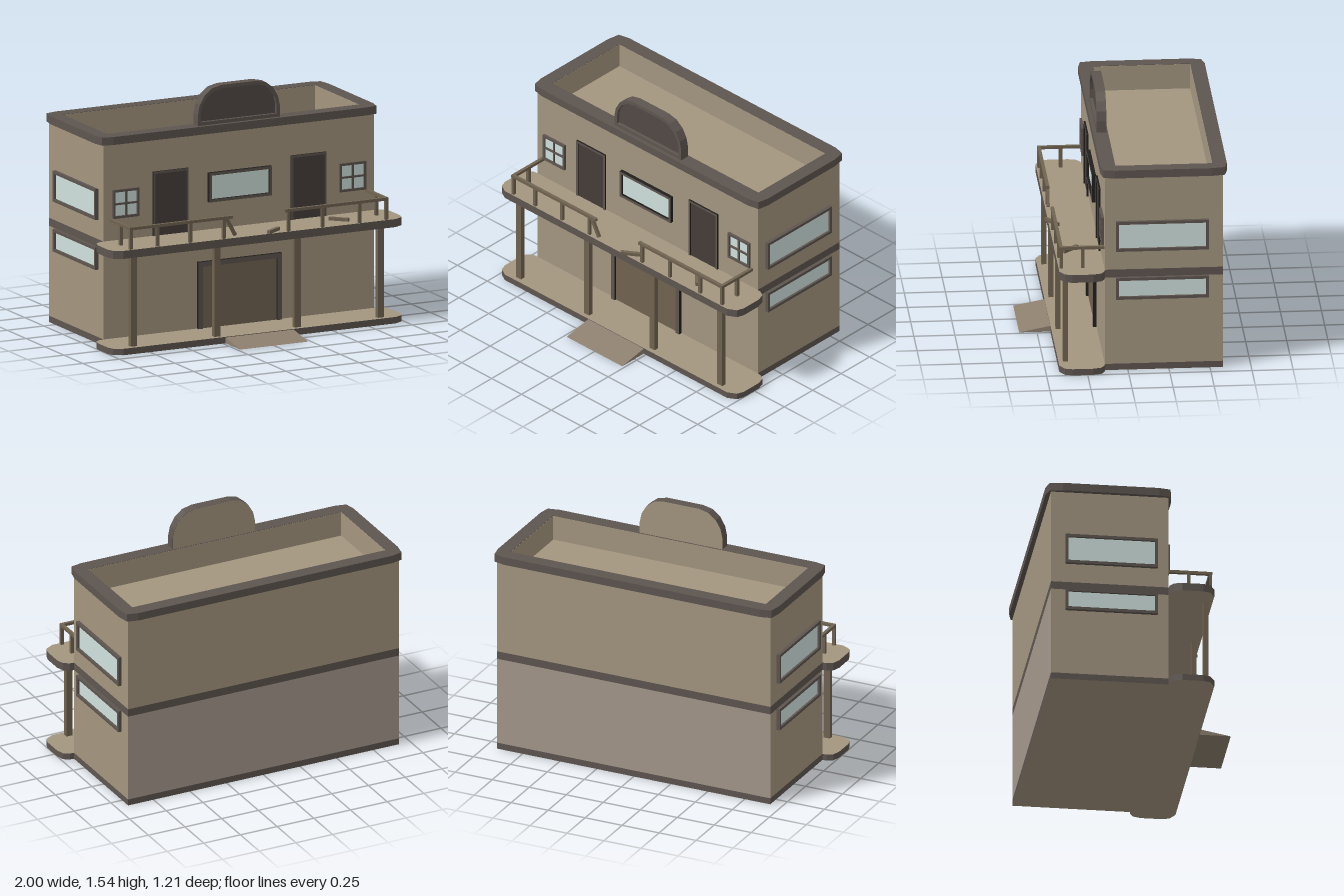
import * as THREE from 'three';

const mat = color => new THREE.MeshStandardMaterial({ color, flatShading: true });
const wall = mat(0xa49680), backWall = mat(0xa4988c), trim = mat(0x5e5550), wood = mat(0x716451);
const doorMat = mat(0x463d39), signMat = mat(0x524a45), edgeMat = mat(0x211f1e);
const glass = mat(0xd0e1dd), rampMat = mat(0x8e806f);

export function createModel() {
  const root = new THREE.Group();
  root.name = 'balconyBuilding';

  const add = (name, geo, material, parent = root) => {
    const m = new THREE.Mesh(geo, material);
    m.name = name;
    parent.add(m);
    return m;
  };
  // Box given by its limits on each axis
  const box = (name, material, x0, x1, y0, y1, z0, z1, parent = root) => {
    const m = add(name, new THREE.BoxGeometry(x1 - x0, y1 - y0, z1 - z0), material, parent);
    m.position.set((x0 + x1) / 2, (y0 + y1) / 2, (z0 + z1) / 2);
    return m;
  };
  const rect = (x0, x1, y0, y1) => [[x0, y0], [x1, y0], [x1, y1], [x0, y1]];
  const shapeOf = (pts, hole) => {
    const s = new THREE.Shape(pts.map(p => new THREE.Vector2(...p)));
    if (hole) s.holes.push(new THREE.Path(hole.map(p => new THREE.Vector2(...p))));
    return s;
  };
  const extrude = (pts, depth, hole) =>
    new THREE.ExtrudeGeometry(shapeOf(pts, hole), { depth, bevelEnabled: false });
  // Horizontal slab from a plan outline of [x, z] points, running from front to back on the +x side
  const plan = pts => pts.map(([x, z]) => [x, -z]);
  const slab = (name, material, pts, y0, y1, hole) => {
    const geo = extrude(plan(pts), y1 - y0, hole && plan(hole)).rotateX(-Math.PI / 2);
    add(name, geo, material).position.y = y0;
  };
  // Adds the mirror image of a half outline
  const mirrored = half => [...half, ...half.map(([x, z]) => [-x, z]).reverse()];

  // Walls, base and floor band
  const W = 0.923, F = 0.14, B = -0.58;
  box('baseBand', [trim, trim, trim, wall, trim, trim], -W, W, 0, 0.04, B, F);
  box('lowerWalls', [wall, wall, wall, wall, wall, backWall], -W, W, 0.04, 0.6, B, F);
  box('floorBand', trim, -W, W, 0.6, 0.65, B, F);
  box('upperWalls', wall, -W, W, 0.65, 1.14, B, F);

  // Parapet around the sunken roof, with its cornice
  slab('parapet', wall, rect(-W, W, F, B), 1.14, 1.298, rect(-0.862, 0.862, 0.07, -0.518));
  slab('cornice', trim, mirrored([
    [0.865, 0.163], [0.936, 0.148], [0.95, 0.08], [0.95, -0.51], [0.936, -0.59], [0.865, -0.607],
  ]), 1.25, 1.3, rect(-0.863, 0.863, 0.071, -0.519));

  // Porch and balcony: rounded slabs with dark edges
  const deck = mirrored([
    [0.93, 0.418], [0.985, 0.388], [1, 0.343], [1, 0.215], [0.985, 0.165], [0.95, 0.143], [0.9, 0.138],
  ]);
  slab('porch', [wall, trim], deck, 0, 0.04);
  slab('balcony', [wall, trim], deck, 0.6, 0.65);
  const ramp = add('ramp', extrude([[-0.415, 0], [-0.608, 0], [-0.415, 0.037]], 0.465), rampMat);
  ramp.rotation.y = Math.PI / 2;
  ramp.position.x = -0.2325;

  // Porch posts
  for (const x of [-0.844, -0.273, 0.275, 0.842])
    box('porchPost', wood, x - 0.021, x + 0.021, 0.04, 0.6, 0.36, 0.39);

  // Balcony railing with a gap in the middle
  for (const s of [-1, 1]) {
    const rail = new THREE.Group();
    rail.name = s < 0 ? 'rightRailing' : 'leftRailing';
    root.add(rail);
    const a = s * 0.178, b = s * 0.883;
    box('frontRail', wood, Math.min(a, b), Math.max(a, b), 0.77, 0.788, 0.392, 0.412, rail);
    box('sideRail', wood, s * 0.873 - 0.01, s * 0.873 + 0.01, 0.77, 0.788, F, 0.392, rail);
    for (const x of s < 0 ? [0.237, 0.465, 0.69, 0.873] : [0.205, 0.437, 0.69, 0.873])
      box('baluster', wood, s * x - 0.01, s * x + 0.01, 0.65, 0.77, 0.393, 0.411, rail);
    box('sideBaluster', wood, s * 0.873 - 0.01, s * 0.873 + 0.01, 0.65, 0.77, 0.26, 0.28, rail);
  }
  // Broken pieces of railing
  const loose = (name, x, y, z, w, h, d, ry, rz) => {
    const m = add(name, new THREE.BoxGeometry(w, h, d), wood);
    m.position.set(x, y, z);
    m.rotation.set(0, ry, rz);
  };
  loose('hangingBaluster', -0.188, 0.718, 0.4, 0.02, 0.125, 0.018, 0, 0.5);
  loose('fallenPlank', 0.105, 0.664, 0.398, 0.125, 0.02, 0.022, 0.57, 0);
  loose('fallenBaluster', 0.59, 0.667, 0.325, 0.125, 0.02, 0.022, -0.8, 0);

  // Framed window facing +z, back plane at z = 0
  const framedWindow = (name, w, h, t, depth, x, y, z, edge, ry = 0, cross = false) => {
    const g = new THREE.Group();
    g.name = name;
    const o = rect(-w / 2, w / 2, -h / 2, h / 2);
    const hole = rect(-w / 2 + t, w / 2 - t, -h / 2 + t, h / 2 - t);
    add('frame', extrude(o, depth, hole), [trim, edge], g);
    box('pane', glass, -w / 2 + t, w / 2 - t, -h / 2 + t, h / 2 - t, 0, depth * 0.35, g);
    if (cross) {
      box('mullion', trim, -0.006, 0.006, -h / 2 + t, h / 2 - t, 0, depth * 0.9, g);
      box('transom', trim, -w / 2 + t, w / 2 - t, -0.006, 0.006, 0, depth * 0.9, g);
    }
    g.position.set(x, y, z);
    g.rotation.y = ry;
    root.add(g);
  };
  framedWindow('centreWindow', 0.428, 0.183, 0.017, 0.024, 0.001, 0.913, F, edgeMat);
  for (const s of [-1, 1]) {
    const turn = s * Math.PI / 2;
    framedWindow('smallWindow', 0.18, 0.178, 0.015, 0.016, s * 0.774, 0.876, F, trim, 0, true);
    framedWindow('upperSideWindow', 0.565, 0.192, 0.018, 0.022, s * W, 0.868, -0.21, trim, turn);
    framedWindow('lowerSideWindow', 0.565, 0.14, 0.018, 0.022, s * W, 0.531, -0.21, trim, turn);
  }

  // Doorways: frame open at the foot, with a set-back door leaf
  const doorway = (name, x, y0, w, h, t, depth, leaf) => {
    const g = new THREE.Group();
    g.name = name;
    const a = w / 2, b = a - t;
    add('doorFrame', extrude(
      [[-a, 0], [-b, 0], [-b, h - t], [b, h - t], [b, 0], [a, 0], [a, h], [-a, h]], depth), [trim, edgeMat], g);
    box('doorLeaf', leaf, -b, b, 0, h - t, 0, depth * 0.4, g);
    g.position.set(x, y0, F);
    root.add(g);
  };
  for (const x of [-0.467, 0.473]) doorway('balconyDoor', x, 0.65, 0.24, 0.4, 0.014, 0.012, doorMat);
  doorway('mainDoorway', 0, 0.04, 0.57, 0.416, 0.03, 0.023, wood);

  // Arched sign board on the front parapet
  const arch = inset => mirrored([
    [0.28, 0], [0.28, 0.07], [0.267, 0.13], [0.235, 0.185], [0.185, 0.225], [0.12, 0.24],
  ].map(([x, y]) => [x * (1 - inset / 0.28), inset + y * (1 - inset / 0.12)]));
  const sign = new THREE.Group();
  sign.name = 'signBoard';
  sign.position.set(0.002, 1.3, 0.08);
  root.add(sign);
  add('signRim', extrude(arch(0), 0.06, arch(0.022)), trim, sign);
  add('signPanel', extrude(arch(0.022), 0.04), signMat, sign);
  add('signBack', new THREE.ShapeGeometry(shapeOf(arch(0))).rotateY(Math.PI), wall, sign).position.z = -0.002;

  return root;
}
